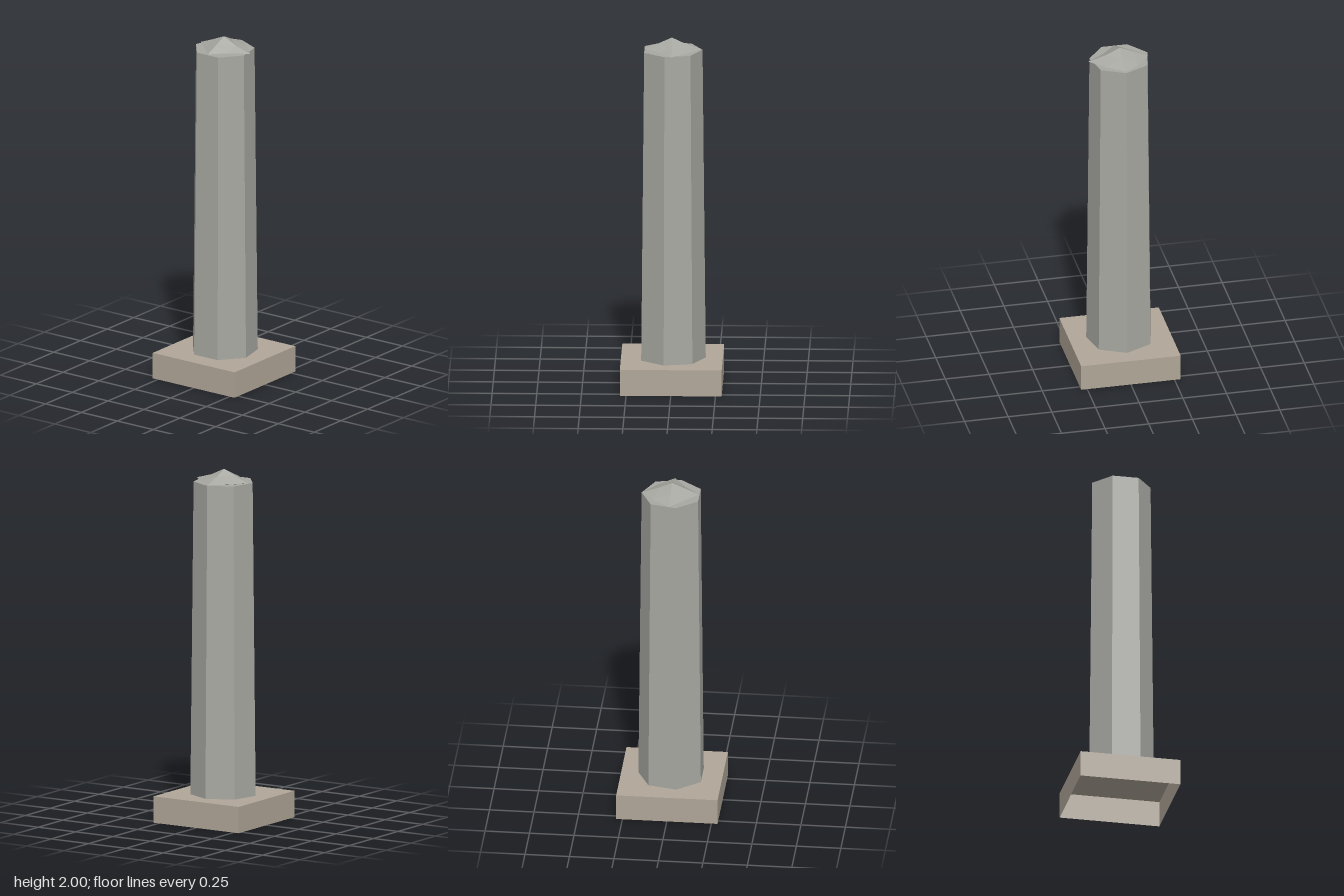
import * as THREE from 'three';

const material = (color) => new THREE.MeshStandardMaterial({ color, flatShading: true, side: THREE.DoubleSide });

// Rough, faceted cap: apex, four inner points, eight outer points, closed underneath
function capGeometry() {
  const apex = [0, 2, 0];
  const inner = [[0.085, 1.96, 0], [0, 1.968, 0.072], [-0.075, 1.968, 0], [0, 1.967, -0.07]];
  const outer = [
    [0.182, 1.932, 0], [0.08, 1.934, 0.07], [0, 1.934, 0.152], [-0.08, 1.934, 0.076],
    [-0.162, 1.934, 0], [-0.085, 1.934, -0.1], [0, 1.934, -0.163], [0.1, 1.934, -0.085],
  ];
  const under = [0, 1.9, 0];
  const points = [];
  const tri = (...corners) => corners.forEach((c) => points.push(...c));
  for (let i = 0; i < 4; i++) {
    const a = inner[i], b = inner[(i + 1) % 4];
    const p = outer[2 * i], e = outer[2 * i + 1], q = outer[(2 * i + 2) % 8];
    tri(apex, b, a);
    tri(a, e, p);
    tri(a, b, e);
    tri(b, q, e);
    tri(under, p, e);
    tri(under, e, q);
  }
  const geometry = new THREE.BufferGeometry();
  geometry.setAttribute('position', new THREE.Float32BufferAttribute(points, 3));
  geometry.computeVertexNormals();
  return geometry;
}

export function createModel() {
  const model = new THREE.Group();
  const stone = material(0xa8a8a2);
  const add = (name, geometry, mat) => {
    const mesh = new THREE.Mesh(geometry, mat);
    mesh.name = name;
    model.add(mesh);
    return mesh;
  };

  // Square plinth, hollow with an open bottom
  const side = 0.57, height = 0.15;
  const plinth = new THREE.BoxGeometry(side, height, side);
  const index = Array.from(plinth.index.array);
  index.splice(18, 6); // drop the bottom face
  plinth.setIndex(index);
  add('plinth', plinth, material(0xb0a698)).position.y = height / 2;

  // Seven-sided tapering shaft with one corner towards the back
  const shaftTop = 1.93;
  const shaft = new THREE.CylinderGeometry(0.171, 0.189, shaftTop - height, 7, 1, false, Math.PI);
  add('shaft', shaft, stone).position.y = (shaftTop + height) / 2;

  // Low pointed cap
  add('cap', capGeometry(), stone);

  return model;
}
